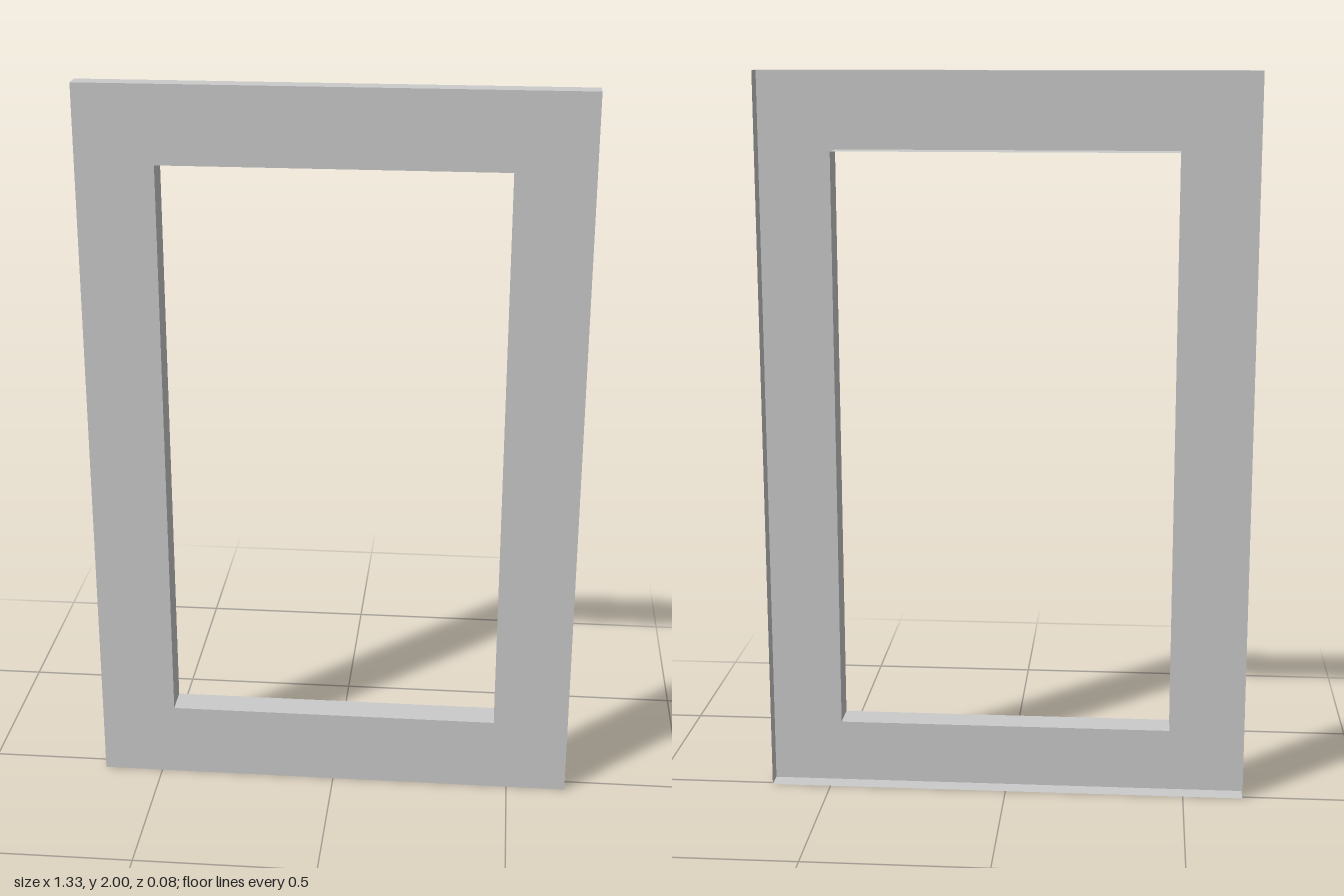
import * as THREE from 'three';

const WIDTH = 1.333, HEIGHT = 2, BORDER = 0.208;
const FRONT = 0.042, RIM_BACK = -0.01, SLEEVE_BACK = -0.042;

// Four thin walls around a rectangle centred on the frame, running back from the front face
function walls(name, w, h, back, material) {
  const group = new THREE.Group();
  group.name = name;
  const depth = FRONT - back, z = (FRONT + back) / 2;
  for (const s of [-1, 1]) {
    const side = new THREE.Mesh(new THREE.PlaneGeometry(depth, h), material);
    side.name = name + (s > 0 ? 'Left' : 'Right');
    side.rotation.y = s * Math.PI / 2;
    side.position.set(s * w / 2, HEIGHT / 2, z);
    const level = new THREE.Mesh(new THREE.PlaneGeometry(w, depth), material);
    level.name = name + (s > 0 ? 'Top' : 'Bottom');
    level.rotation.x = -s * Math.PI / 2;
    level.position.set(0, HEIGHT / 2 + s * h / 2, z);
    group.add(side, level);
  }
  return group;
}

function rectangle(path, w, h) {
  path.moveTo(-w / 2, -h / 2);
  path.lineTo(w / 2, -h / 2);
  path.lineTo(w / 2, h / 2);
  path.lineTo(-w / 2, h / 2);
  path.closePath();
  return path;
}

export function createModel() {
  const model = new THREE.Group();
  model.name = 'windowFrame';
  const material = new THREE.MeshStandardMaterial({ color: 0xcccccc, side: THREE.DoubleSide });
  const holeW = WIDTH - 2 * BORDER, holeH = HEIGHT - 2 * BORDER;

  // Flat front face with the opening cut out; the shell is open at the back
  const shape = rectangle(new THREE.Shape(), WIDTH, HEIGHT);
  shape.holes.push(rectangle(new THREE.Path(), holeW, holeH));
  const face = new THREE.Mesh(new THREE.ShapeGeometry(shape), material);
  face.name = 'frontFace';
  face.position.set(0, HEIGHT / 2, FRONT);
  model.add(face);

  // Shallow outer rim and deeper sleeve lining the opening
  model.add(walls('outerRim', WIDTH, HEIGHT, RIM_BACK, material));
  model.add(walls('innerSleeve', holeW, holeH, SLEEVE_BACK, material));
  return model;
}
